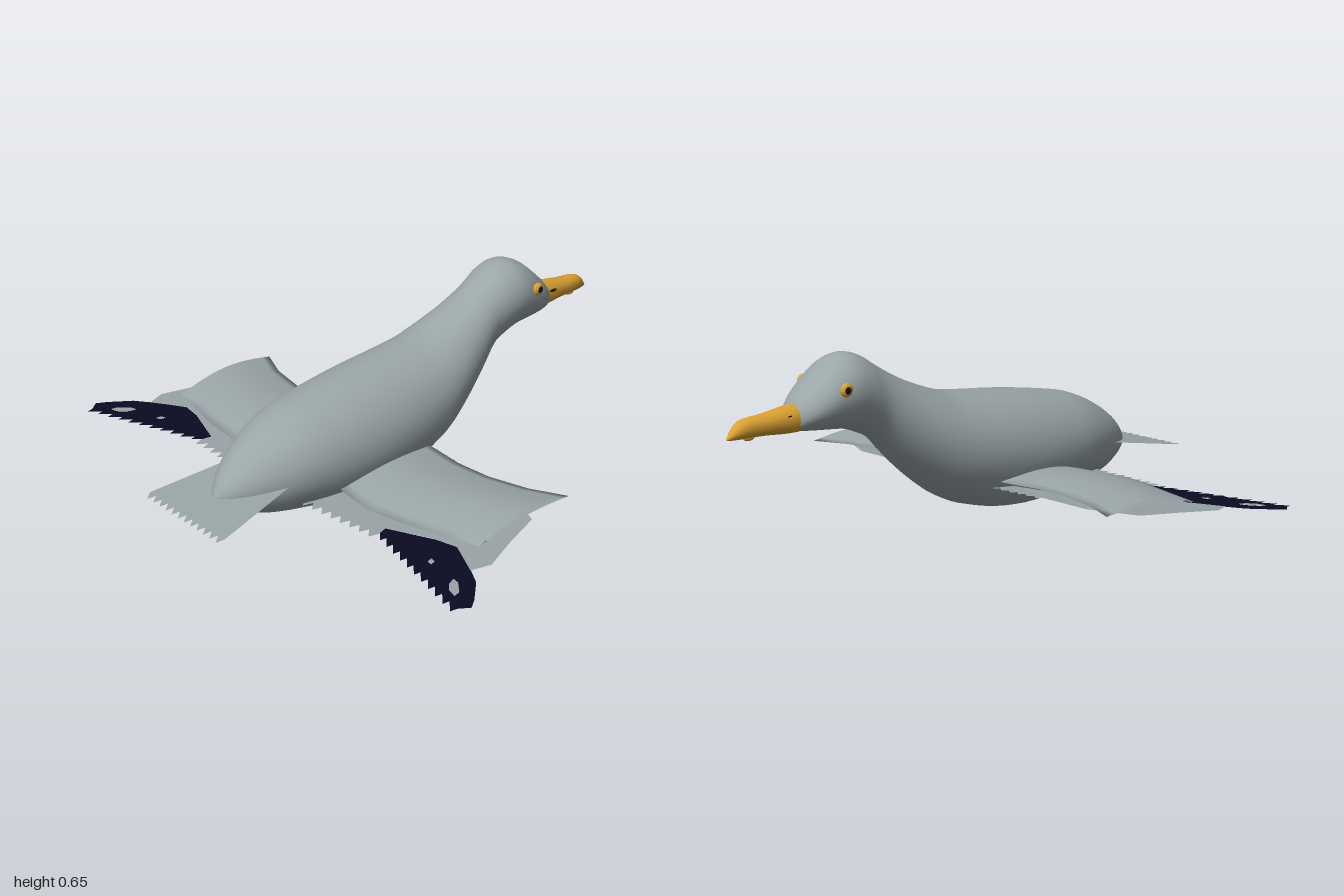
import * as THREE from 'three';

const paint = (name, color, side = THREE.FrontSide) => {
  const m = new THREE.MeshStandardMaterial({ color, side });
  m.name = name;
  return m;
};

// Smooth closed surface through rings of points; rings[i][j] is a Vector3
function skin(rings) {
  const n = rings[0].length, pos = [], index = [];
  rings.forEach(r => r.forEach(p => pos.push(p.x, p.y, p.z)));
  for (let i = 0; i < rings.length - 1; i++) {
    for (let j = 0; j < n; j++) {
      const a = i * n + j, b = i * n + (j + 1) % n;
      index.push(a, b, a + n, b, b + n, a + n);
    }
  }
  const g = new THREE.BufferGeometry();
  g.setAttribute('position', new THREE.Float32BufferAttribute(pos, 3));
  g.setIndex(index);
  g.computeVertexNormals();
  return g;
}

// Elliptical loft along z from stations [z, bottom, top, halfWidth]
function loft(stations, steps, sides, cx) {
  const mid = new THREE.CatmullRomCurve3(stations.map(s => new THREE.Vector3(s[0], s[1], s[2])), false, 'centripetal');
  const wide = new THREE.CatmullRomCurve3(stations.map(s => new THREE.Vector3(s[0], s[3], 0)), false, 'centripetal');
  const rings = [];
  for (let i = 0; i <= steps; i++) {
    const p = mid.getPoint(i / steps), w = wide.getPoint(i / steps).y;
    rings.push(Array.from({ length: sides }, (_, j) => {
      const a = j / sides * Math.PI * 2;
      return new THREE.Vector3(cx + w * Math.cos(a), (p.y + p.z) / 2 + (p.z - p.y) / 2 * Math.sin(a), p.x);
    }));
  }
  return skin(rings);
}

// Saw-toothed edge from a to b; teeth stick out by (dx, dz)
function teeth(a, b, count, dx, dz) {
  const pts = [];
  for (let i = 0; i < count; i++) {
    const at = t => [a[0] + (b[0] - a[0]) * t, a[1] + (b[1] - a[1]) * t];
    const p = at(i / count), q = at((i + 0.75) / count);
    pts.push(p, [q[0] + dx, q[1] + dz]);
  }
  pts.push(b);
  return pts;
}

// Flat sheet outlined in x and z, with its height given by a rule
function sheet(outline, height, holes = []) {
  const vec = pts => pts.map(p => new THREE.Vector2(p[0], p[1]));
  const shape = new THREE.Shape(vec(outline));
  holes.forEach(h => shape.holes.push(new THREE.Path(vec(h))));
  const g = new THREE.ShapeGeometry(shape);
  const p = g.attributes.position;
  for (let i = 0; i < p.count; i++) {
    const x = p.getX(i), z = p.getY(i);
    p.setXYZ(i, x, height(x, z), z);
  }
  // turn the faces upward
  const ix = g.index.array;
  for (let i = 0; i < ix.length; i += 3) [ix[i], ix[i + 1]] = [ix[i + 1], ix[i]];
  g.computeVertexNormals();
  return g;
}

// Cambered wing panel from root to tip
function wingPanel() {
  const stations = [ // x, leading z, trailing z, lower bulge
    [0.1, 0.02, 0.42, -0.05], [0.22, 0.03, 0.455, -0.045], [0.36, 0.05, 0.475, -0.035],
    [0.5, 0.045, 0.455, -0.015], [0.65, 0.01, 0.415, 0.005], [0.78, -0.05, 0.38, 0.018]];
  const n = 12;
  const rings = stations.map(([x, zf, zb, low]) => {
    const pts = [];
    for (let j = 0; j < 2 * n; j++) {
      const t = j <= n ? j / n : 2 - j / n;
      const bulge = (j <= n ? 0.034 : low) * Math.sin(Math.PI * t);
      pts.push(new THREE.Vector3(x, 0.15 - 0.022 * t + bulge, zf + (zb - zf) * t));
    }
    return pts;
  });
  // run from tip to root so that the faces point outward
  return skin(rings.reverse());
}

export function createModel() {
  const grey = paint('plumage grey', 0x9aa5a8);
  const featherGrey = paint('feather grey', 0x98a3a5, THREE.DoubleSide);
  const navy = paint('wing tip navy', 0x0a0a22, THREE.DoubleSide);
  const orange = paint('beak orange', 0xdca232);
  const black = paint('pupil black', 0x14120e);
  grey.side = THREE.DoubleSide;

  const model = new THREE.Group();
  model.name = 'bird';
  const add = (name, geometry, material, parent = model) => {
    const m = new THREE.Mesh(geometry, material);
    m.name = name;
    parent.add(m);
    return m;
  };
  const cx = -0.006;

  // Body, neck and head in one smooth form
  add('body', loft([
    [-0.752, 0.445, 0.455, 0.004], [-0.74, 0.415, 0.495, 0.05], [-0.7, 0.407, 0.54, 0.086],
    [-0.65, 0.402, 0.585, 0.109], [-0.59, 0.397, 0.632, 0.122], [-0.53, 0.39, 0.652, 0.127],
    [-0.47, 0.37, 0.64, 0.123], [-0.4, 0.335, 0.598, 0.12], [-0.3, 0.24, 0.543, 0.146],
    [-0.2, 0.155, 0.502, 0.176], [-0.1, 0.085, 0.47, 0.2], [0, 0.042, 0.456, 0.214],
    [0.2, 0.003, 0.437, 0.226], [0.4, 0.01, 0.41, 0.216], [0.53, 0.03, 0.385, 0.192],
    [0.65, 0.053, 0.335, 0.15], [0.75, 0.093, 0.27, 0.095], [0.81, 0.125, 0.21, 0.045],
    [0.842, 0.155, 0.165, 0.003]], 72, 32, cx), grey);

  // Beak with nostrils and the small bump near the tip
  add('beak', loft([
    [-1, 0.415, 0.419, 0.002], [-0.975, 0.413, 0.452, 0.018], [-0.945, 0.412, 0.475, 0.029],
    [-0.85, 0.411, 0.487, 0.039], [-0.74, 0.405, 0.503, 0.05], [-0.7, 0.41, 0.5, 0.05]], 30, 12, cx - 0.004), orange);
  const bump = add('beakBump', new THREE.SphereGeometry(0.012, 12, 8), orange);
  bump.scale.set(1, 0.8, 1.8);
  bump.position.set(cx, 0.412, -0.91);

  // Eyes and nostrils
  for (const s of [-1, 1]) {
    const eye = add('eye', new THREE.SphereGeometry(0.024, 16, 12), orange);
    eye.scale.x = 0.6;
    eye.position.set(cx + s * 0.118, 0.546, -0.597);
    const pupil = add('pupil', new THREE.SphereGeometry(0.013, 12, 8), black);
    pupil.scale.x = 0.5;
    pupil.position.set(cx + s * 0.128, 0.546, -0.599);
    const nostril = add('nostril', new THREE.SphereGeometry(0.009, 10, 6), black);
    nostril.scale.set(0.6, 0.6, 2);
    nostril.position.set(cx + s * 0.042, 0.47, -0.77);
  }

  // Tail fan
  add('tail', sheet([[0.13, 0.55], [-0.13, 0.55],
    ...teeth([-0.21, 0.95], [0.208, 0.965], 12, 0, 0.03)], (x, z) => 0.145 + (0.99 - z) * 0.14), featherGrey);

  // Wings, the second mirrored from the first
  const featherHeight = (x, z) => 0.128 - 0.045 * z;
  const spots = [
    [[0.835, 0.55], [0.86, 0.555], [0.9, 0.59], [0.905, 0.615], [0.87, 0.605], [0.845, 0.58]],
    [[0.7, 0.515], [0.72, 0.52], [0.725, 0.54], [0.705, 0.535]]];
  const darkTop = [[0.71, 0.41], [0.63, 0.425], [0.46, 0.49]];
  const darkBack = teeth([0.46, 0.515], [0.96, 0.66], 11, 0.006, 0.028);
  for (const s of [1, -1]) {
    const wing = new THREE.Group();
    wing.name = s > 0 ? 'leftWing' : 'rightWing';
    wing.scale.x = s;
    wing.position.x = cx;
    model.add(wing);
    add('wingPanel', wingPanel(), grey, wing);

    // Grey feather layer below the panel
    add('underFeathers', sheet([
      ...teeth([0.12, 0.015], [0.39, 0.04], 7, 0, -0.022),
      [0.6, 0.04], [0.77, 0.12], [0.815, 0.27], [0.865, 0.41], [0.84, 0.48],
      ...darkTop,
      ...teeth([0.47, 0.53], [0.12, 0.55], 8, 0.02, 0.032)], featherHeight), featherGrey, wing);

    // Dark flight feathers with pale spots
    add('flightFeathers', sheet([
      ...darkTop, ...darkBack, [0.988, 0.625], [0.965, 0.59], [0.9, 0.515], [0.82, 0.465]],
    (x, z) => featherHeight(x, z) - 0.001, spots), navy, wing);
    spots.forEach(p => add('paleSpot', sheet(p, featherHeight), featherGrey, wing));
  }
  return model;
}
